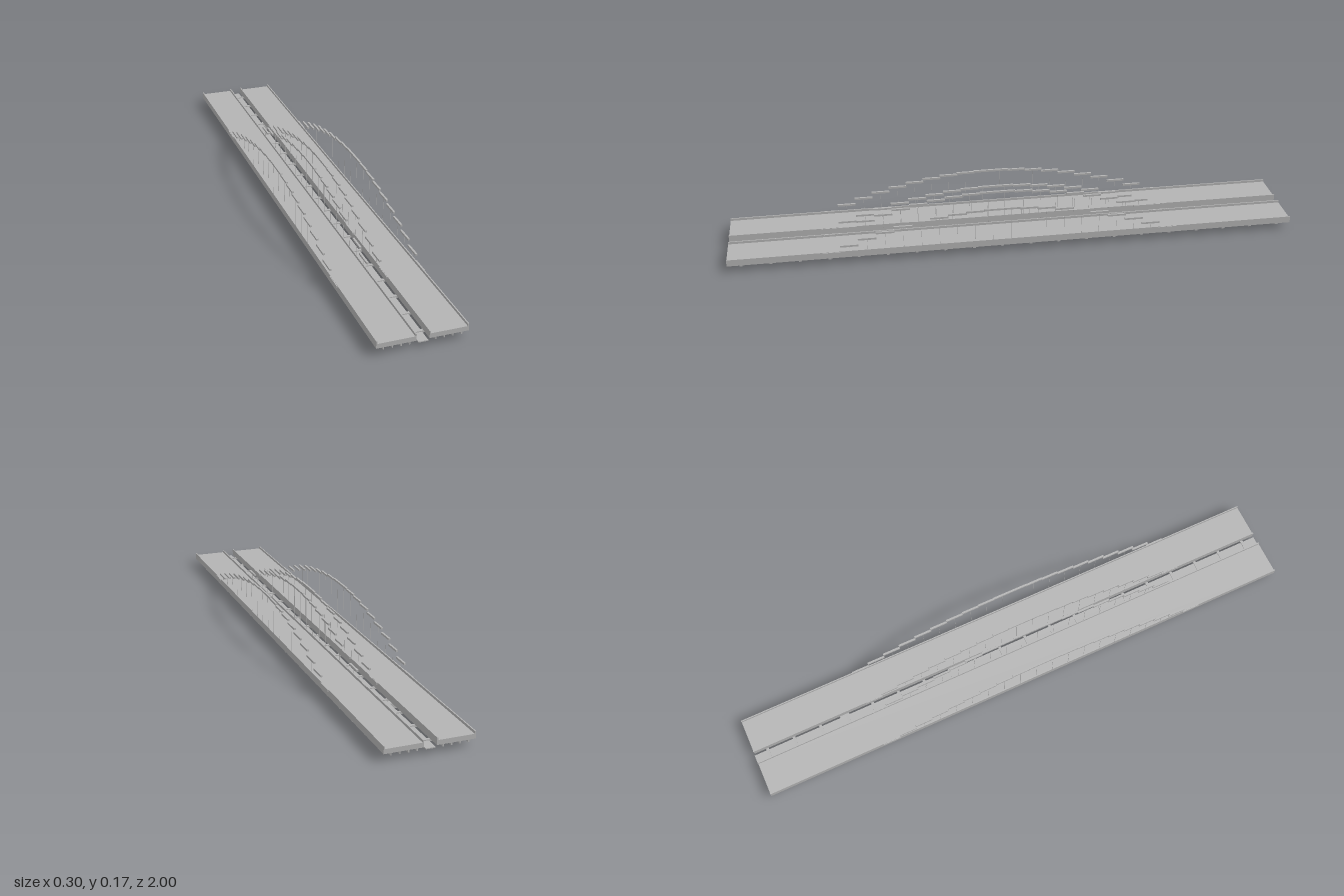
import * as THREE from 'three';

export function createModel() {
  const root = new THREE.Group();
  root.name = 'archBridge';
  const grey = new THREE.MeshStandardMaterial({ color: 0xb3b3b3 });
  grey.name = 'concreteGrey';

  // Box from its minimum and maximum corners
  function box(name, x0, x1, y0, y1, z0, z1, parent = root) {
    const mesh = new THREE.Mesh(new THREE.BoxGeometry(x1 - x0, y1 - y0, z1 - z0), grey);
    mesh.name = name;
    mesh.position.set((x0 + x1) / 2, (y0 + y1) / 2, (z0 + z1) / 2);
    parent.add(mesh);
    return mesh;
  }

  const deckBottom = 0.0235, deckTop = 0.039, beamBottom = 0.017;
  const inner = 0.0205, outer = 0.1455, end = 0.997;

  // One arch: stepped horizontal segments on a parabola, each with a thin hanger
  function arch(x) {
    const group = new THREE.Group();
    group.name = 'arch';
    const pitch = 0.0623, midZ = 0.0515, half = 0.0034;
    for (let k = 0; k < 10; k++) {
      const y = 0.168 - 0.00277 * k * (k + 1) / 2;
      for (const side of [-1, 1]) {
        const z = midZ + side * pitch * (k + 0.5);
        box('archSegment', x - half, x + half, y - half, y + half, z - 0.032, z + 0.032, group);
        box('hanger', x - 0.0004, x + 0.0004, deckTop - 0.002, y, z - 0.0004, z + 0.0004, group);
      }
    }
    root.add(group);
  }

  // Twin carriageways with edge rails, stringers and arches
  for (const s of [-1, 1]) {
    const span = (a, b) => (s > 0 ? [a, b] : [-b, -a]);
    box('deck', ...span(inner, outer), deckBottom, deckTop, -end, end);
    box('innerRail', ...span(inner, inner + 0.004), deckTop, 0.0475, -end, end);
    box('outerRail', ...span(outer - 0.004, outer), deckTop, 0.0475, -end, end);
    for (const x of [0.041, 0.068, 0.095, 0.123])
      box('stringer', ...span(x - 0.002, x + 0.002), beamBottom - 0.001, deckBottom, -end, end);
    arch(s * 0.0215);
    arch(s * 0.145);
  }

  // Cross beams tying both decks together
  for (let i = 0; i < 20; i++) {
    const z = -0.95 + i * 0.1;
    box('crossBeam', -0.141, 0.141, beamBottom, deckBottom, z - 0.005, z + 0.005);
  }

  // Narrow walkway strip between the decks
  box('centreStrip', -0.0155, 0.0155, 0.0175, 0.0205, -1, 1);

  // Single support beneath the rear part
  box('pier', -0.1, 0.1, 0, beamBottom, -0.675, -0.64);

  return root;
}
